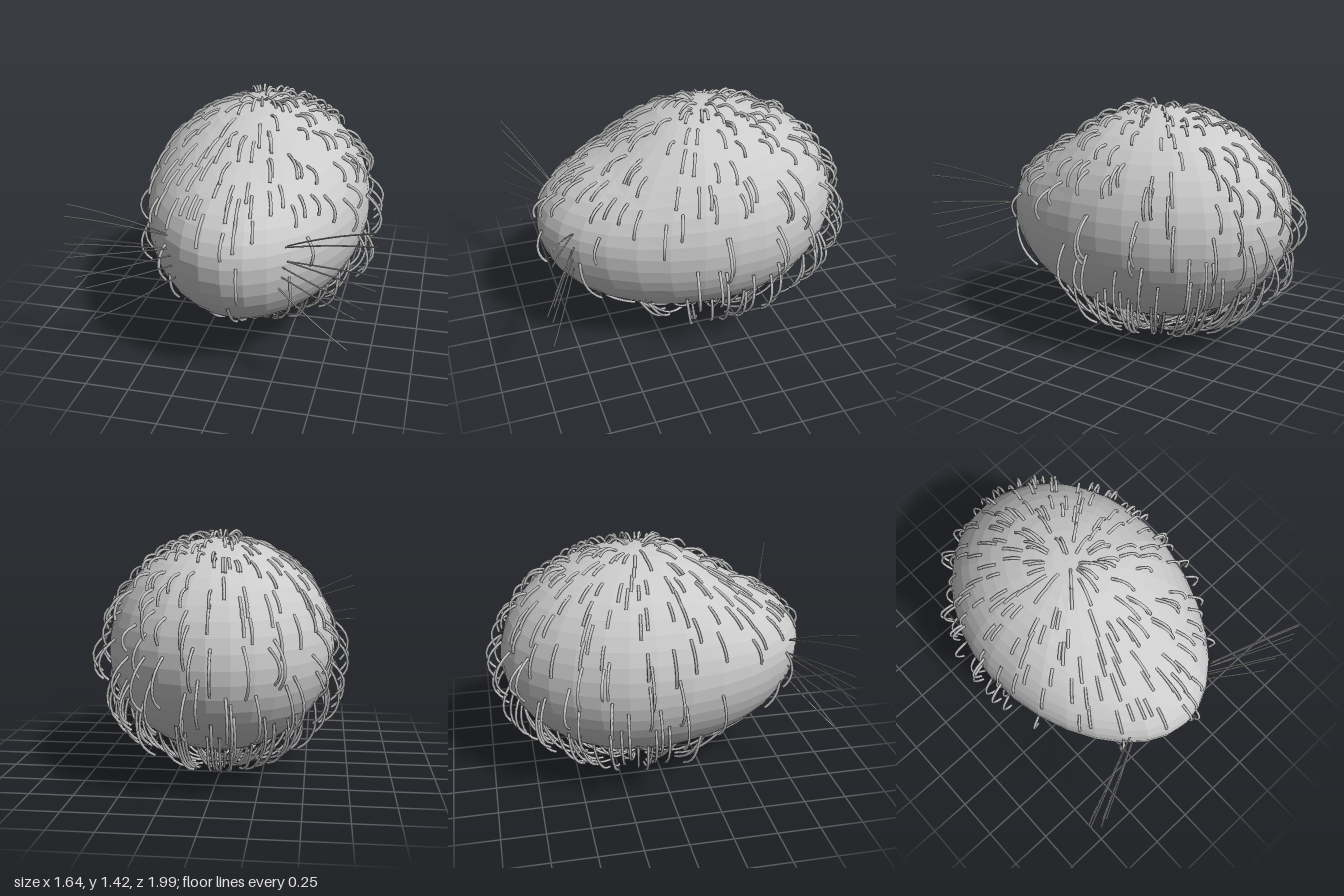
import * as THREE from 'three';
import { mergeGeometries } from 'three/addons/utils/BufferGeometryUtils.js';

const CY = 0.74, CZ = -0.1;
const { smoothstep } = THREE.MathUtils;

// Turns a point of the unit sphere into a point of the egg-shaped body.
function shape(v) {
  const t = Math.max(v.z, 0), up = v.y > 0;
  return new THREE.Vector3(
    v.x * 0.66 * (1 - 0.08 * t * t),
    CY + v.y * (up ? 0.64 * (1 - 0.23 * smoothstep(t, 0.1, 0.7)) : 0.605 * (1 + 0.1 * t * t)),
    CZ + v.z * (v.z > 0 ? 0.995 : 0.81));
}

function unit(theta, phi) {
  return new THREE.Vector3().setFromSphericalCoords(1, theta, phi);
}

// Small seeded generator, 0 to 1.
function seeded(seed) {
  return () => {
    seed = (seed * 16807) % 2147483647;
    return seed / 2147483647;
  };
}

// One strand: leaves the skin, bows outwards and follows the meridian down.
function hair(theta, phi, length, lift, radius) {
  const low = smoothstep(theta, 1.2, 2.1);
  const points = [];
  for (let i = 0; i <= 5; i++) {
    const s = i / 5;
    const v = unit(Math.min(theta + length * s, Math.PI - 0.02), phi);
    const out = new THREE.Vector3(v.x / 0.66, v.y / 0.62, v.z / 0.9).normalize();
    const arch = Math.sin(s * Math.PI * (0.85 - 0.28 * low));
    // Strands under the snout lie close, those under the belly hang free
    const close = 1 - 0.75 * low * smoothstep(v.z, 0.15, 0.6);
    points.push(shape(v).addScaledVector(out, lift * arch * close - 0.002));
  }
  return new THREE.TubeGeometry(new THREE.CatmullRomCurve3(points), 7, radius, 5);
}

export function createModel() {
  const group = new THREE.Group();
  const grey = new THREE.MeshStandardMaterial({ color: 0xcccccc, flatShading: true });
  const smooth = new THREE.MeshStandardMaterial({ color: 0xcccccc, side: THREE.DoubleSide });
  const add = (geometry, material, name) => {
    const mesh = new THREE.Mesh(geometry, material);
    mesh.name = name;
    group.add(mesh);
  };

  // Body: a faceted sphere, longer and lower towards the snout
  const body = new THREE.SphereGeometry(1, 32, 24);
  const pos = body.attributes.position;
  for (let i = 0; i < pos.count; i++) {
    const p = shape(new THREE.Vector3().fromBufferAttribute(pos, i));
    pos.setXYZ(i, p.x, p.y, p.z);
  }
  body.computeVertexNormals();
  add(body, grey, 'body');

  // Fur: rings of strands from the crown to the underside
  const rand = seeded(90210);
  const strands = [];
  const rings = [[0.1, 16], [0.28, 26], [0.48, 32], [0.68, 36], [0.9, 38], [1.15, 36],
    [1.42, 34], [1.75, 34], [2.05, 36], [2.35, 36], [2.6, 28], [2.8, 16]];
  for (const [ring, count] of rings) {
    for (let i = 0; i < count; i++) {
      const phi = (i + rand() * 1.2) / count * Math.PI * 2;
      const theta = Math.max(ring + (rand() - 0.5) * 0.26, 0.06);
      const length = (0.16 + 0.26 * smoothstep(theta, 0.3, 2)) * (0.7 + 0.5 * rand());
      let lift = (0.035 + 0.09 * smoothstep(theta, 0.9, 1.75)) * (0.85 + 0.2 * rand());
      const v = unit(theta, phi);
      // The face and cheeks stay almost bare
      const bareFrom = v.z > 0.6 && Math.abs(v.x) > 0.25 ? 1.05 : 1.3;
      if (v.z > 0.3 && theta > bareFrom && theta < 2.15 && rand() < 0.88) continue;
      // Fur lies flat on the upper right side, fluffier on the upper left
      if (theta < 1.25) lift *= v.x < -0.1 ? 0.3 : 1.15;
      // Short over the snout
      if (v.z > 0.6) lift *= 0.6;
      strands.push(hair(theta, phi, length, lift, 0.0088));
    }
  }
  add(mergeGeometries(strands), smooth, 'fur');

  // Whiskers: root x, y and tip x, y, z for one cheek
  const whiskers = [
    [0.33, 0.85, 0.79, 1.06, 0.95], [0.32, 0.84, 0.81, 0.99, 0.95],
    [0.33, 0.76, 0.82, 0.83, 0.95], [0.33, 0.76, 0.815, 0.755, 0.96],
    [0.29, 0.73, 0.76, 0.66, 0.99], [0.29, 0.67, 0.72, 0.585, 0.96],
    [0.285, 0.595, 0.685, 0.4, 0.96]];
  for (const side of [1, -1]) {
    const parts = whiskers.map(([x, y, tx, ty, tz]) => {
      const root = new THREE.Vector3(side * x, y, 0.75);
      const tip = new THREE.Vector3(side * tx, ty, tz);
      const mid = root.clone().lerp(tip, 0.5);
      mid.y += (ty - y) * 0.12;
      return new THREE.TubeGeometry(new THREE.QuadraticBezierCurve3(root, mid, tip), 8, 0.0042, 5);
    });
    add(mergeGeometries(parts), smooth, side > 0 ? 'leftWhiskers' : 'rightWhiskers');
  }
  return group;
}
